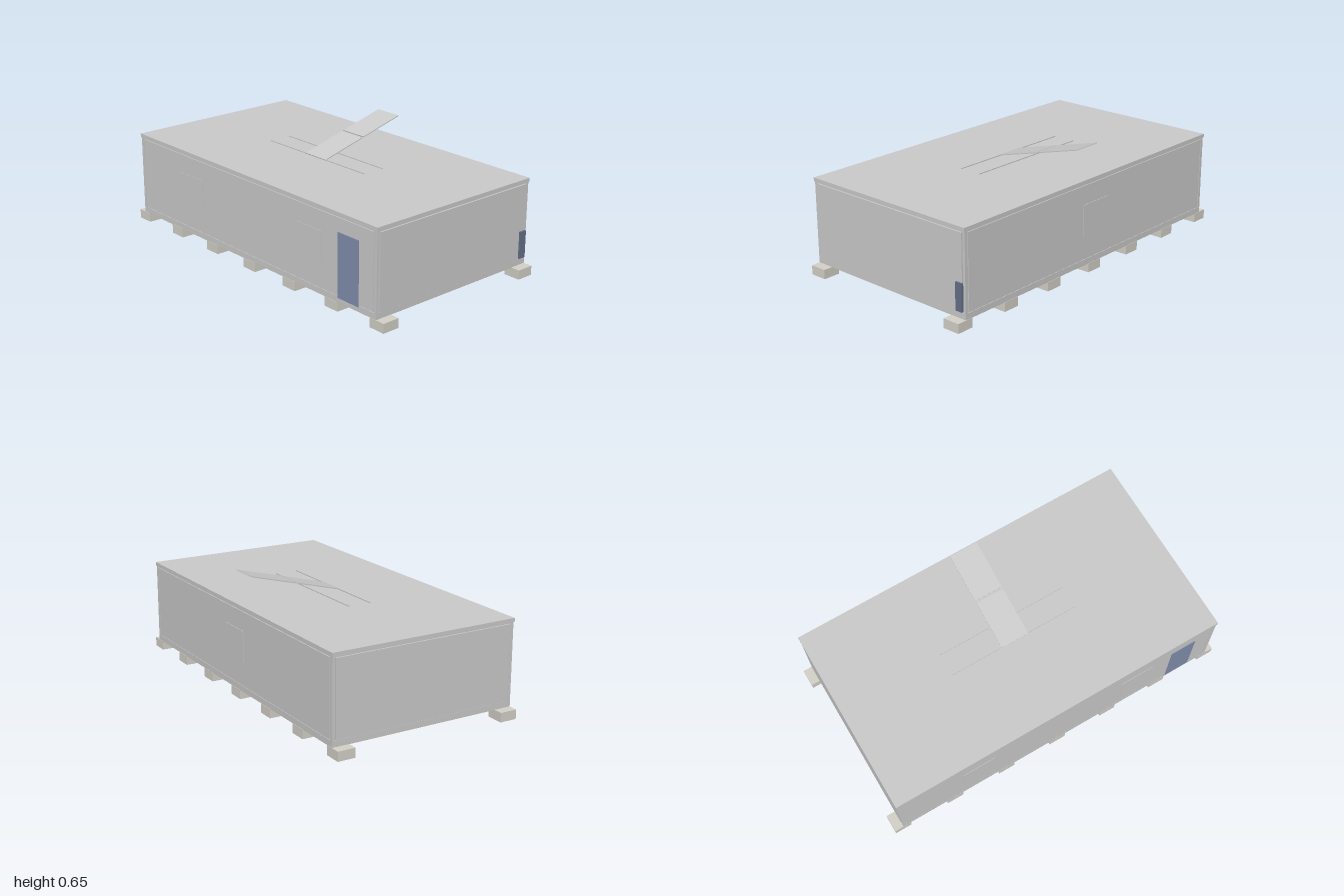
import * as THREE from 'three';

const mat = (color) => new THREE.MeshStandardMaterial({ color });

export function createModel() {
  const model = new THREE.Group();
  const grey = mat(0xcccccc);
  const concrete = mat(0xd4d2c8);
  const timber = mat(0xccc2ac);
  const doorBlue = mat(0x8290ae);
  const unitBlue = mat(0x66708a);

  // Box given by its min and max along each axis
  const box = (name, [x0, x1], [y0, y1], [z0, z1], material = grey, parent = model) => {
    const mesh = new THREE.Mesh(new THREE.BoxGeometry(x1 - x0, y1 - y0, z1 - z0), material);
    mesh.position.set((x0 + x1) / 2, (y0 + y1) / 2, (z0 + z1) / 2);
    mesh.name = name;
    parent.add(mesh);
    return mesh;
  };

  // Cabin shell: core, base frame, roof slab and underside
  box('cabinCore', [-0.945, 0.945], [0.08, 0.495], [-0.513, 0.513]);
  box('baseFrame', [-0.95, 0.95], [0.052, 0.082], [-0.518, 0.518]);
  box('roof', [-0.955, 0.955], [0.49, 0.51], [-0.521, 0.521]);
  box('floorUnderside', [-0.948, 0.948], [0.049, 0.053], [-0.516, 0.516], timber);

  // Corner posts and wall panels, with narrow grooves between them
  for (const sx of [-1, 1]) {
    for (const sz of [-1, 1]) {
      const post = box('cornerPost', [-0.009, 0.009], [0.08, 0.492], [-0.007, 0.007]);
      post.position.x = sx * 0.941;
      post.position.z = sz * 0.511;
    }
    const end = box('endWallPanel', [-0.006, 0.006], [0.084, 0.482], [-0.5, 0.5]);
    end.position.x = sx * 0.947;
  }
  for (const sz of [-1, 1]) {
    const long = box('longWallPanel', [-0.928, 0.928], [0.084, 0.482], [-0.004, 0.004]);
    long.position.z = sz * 0.514;
  }

  // Foundation blocks: seven along each long side
  for (let i = -3; i <= 3; i++) {
    for (const sz of [-1, 1]) {
      const foot = box('foundationBlock', [-0.0475, 0.0475], [0, 0.05], [-0.0475, 0.0475], concrete);
      foot.position.x = i * 0.3175;
      foot.position.z = sz * 0.4705;
    }
  }

  // Door, windows and wall-mounted unit
  box('door', [0.685, 0.83], [0.075, 0.41], [0.512, 0.521], doorBlue);
  box('frontWindow', [-0.575, -0.385], [0.215, 0.38], [0.512, 0.52]);
  box('frontWindow', [0.38, 0.57], [0.215, 0.38], [0.512, 0.52]);
  box('backWindow', [-0.095, 0.095], [0.215, 0.38], [-0.521, -0.512]);
  box('wallUnit', [0.945, 0.963], [0.09, 0.235], [-0.505, -0.465], unitBlue);

  // Roof rails
  for (const z of [0.062, -0.064]) {
    box('roofRail', [-0.37, 0.37], [0.509, 0.515], [z - 0.003, z + 0.003]);
  }

  // Two tilted solar panels in one rising row
  const row = new THREE.Group();
  row.name = 'solarPanelRow';
  row.position.set(0, 0.512, 0.066);
  row.rotation.x = Math.atan2(0.14, 0.525);
  model.add(row);
  for (const start of [0, 0.277]) {
    box('solarPanel', [-0.079, 0.079], [-0.0025, 0.0025], [-start - 0.265, -start], grey, row);
  }
  return model;
}
